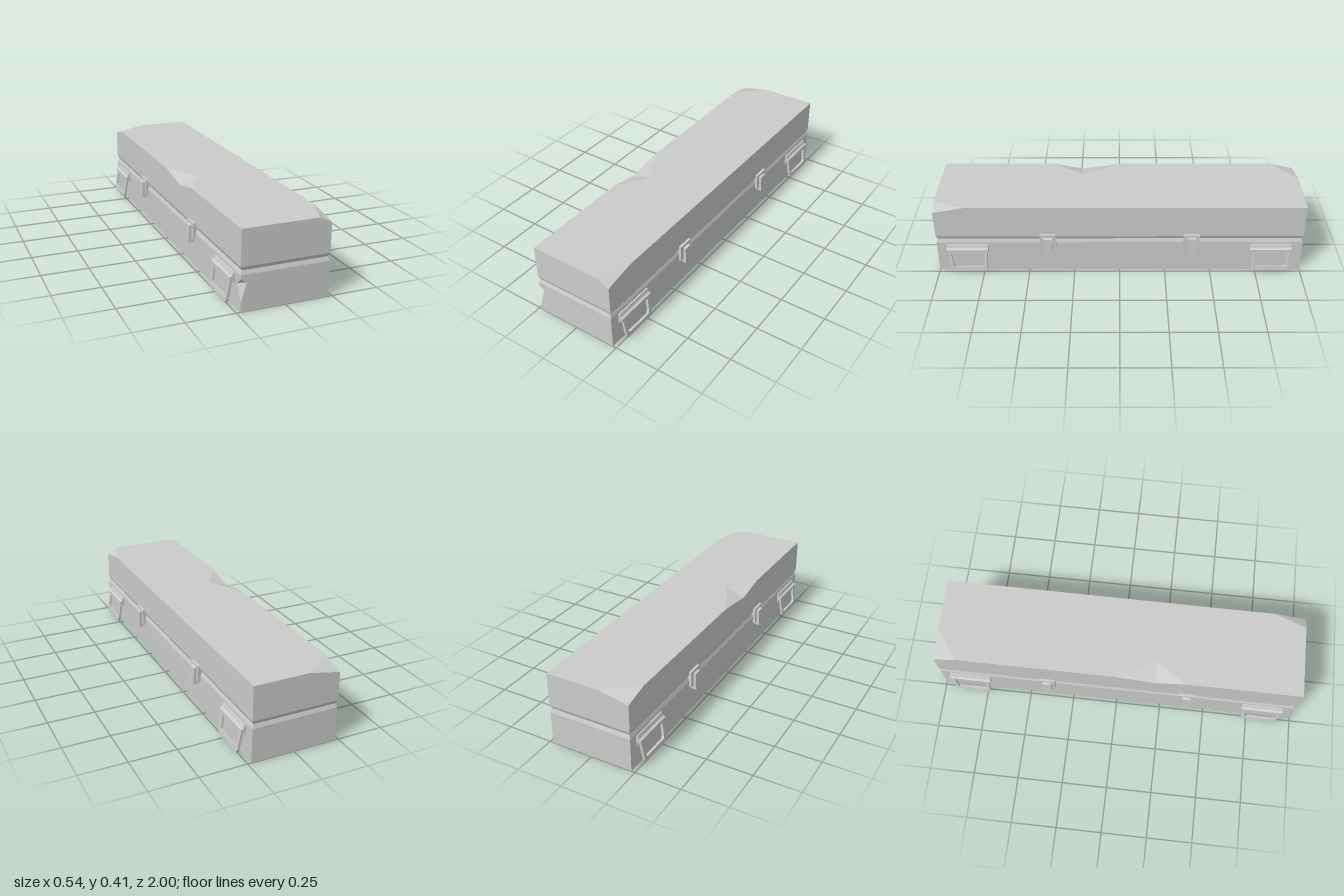
import * as THREE from 'three';

const W = 0.23, TOP = 0.41, LID = 0.225, SEAM = 0.206, RIM = 0.185, INSET = 0.008;
const material = new THREE.MeshStandardMaterial({ color: 0xcccccc, flatShading: true });

// Builds a faceted shell; every face is [outward direction, corners], fanned from its first corner.
function shell(name, faces) {
  const out = [];
  const [a, b, c] = [0, 1, 2].map(() => new THREE.Vector3());
  for (const [dir, pts] of faces) {
    for (let i = 1; i < pts.length - 1; i++) {
      a.set(...pts[0]);
      b.set(...pts[i]);
      c.set(...pts[i + 1]);
      const n = b.clone().sub(a).cross(c.clone().sub(a));
      const flip = n.dot(new THREE.Vector3(...dir)) < 0;
      out.push(...pts[0], ...(flip ? pts[i + 1] : pts[i]), ...(flip ? pts[i] : pts[i + 1]));
    }
  }
  const g = new THREE.BufferGeometry();
  g.setAttribute('position', new THREE.Float32BufferAttribute(out, 3));
  g.computeVertexNormals();
  return named(g, name);
}

function named(geometry, name) {
  const mesh = new THREE.Mesh(geometry, material);
  mesh.name = name;
  return mesh;
}

const ring = (y, d = 0) => [[1, 1], [1, -1], [-1, -1], [-1, 1]].map(([x, z]) => [x * (W - d), y, z * (1 - d)]);

// Sloped strips joining an outer ring to the recessed seam
function seamStrips(y) {
  const o = ring(y), s = ring(SEAM, INSET);
  const dirs = [[1, 0, 0], [0, 0, -1], [-1, 0, 0], [0, 0, 1]];
  return dirs.map((d, i) => [d, [o[i], o[(i + 1) % 4], s[(i + 1) % 4], s[i]]]);
}

// Lid with two crushed corners and a dent in its -x edge
function makeLid() {
  const [fr, br, bl, fl] = ring(LID);
  const low = 0.378;
  const f1 = [0.165, TOP, 1], f2 = [W, low, 1], f3 = [W, TOP, 0.83];
  const b1 = [-0.06, TOP, -1], b2 = [-W, low, -1], b3 = [-W, TOP, -0.87];
  const d1 = [-W, TOP, -0.02], d2 = [-W, TOP, 0.38], pit = [-W, low, 0.21], apex = [-0.12, TOP, 0.21];
  const tbr = [W, TOP, -1], tfl = [-W, TOP, 1], up = [0, 1, 0];
  return shell('lid', [
    [up, [apex, d2, tfl, f1, f3, tbr, b1, b3, d1]],
    [up, [f1, f2, f3]],
    [up, [b1, b2, b3]],
    [up, [apex, d1, pit]],
    [up, [apex, pit, d2]],
    [[0, 0, 1], [fl, fr, f2, f1, tfl]],
    [[0, 0, -1], [br, bl, b2, b1, tbr]],
    [[1, 0, 0], [fr, br, tbr, f3, f2]],
    [[-1, 0, 0], [pit, d2, tfl, fl, bl, b2, b3, d1]],
    ...seamStrips(LID),
  ]);
}

// Lower case with a dent in its front -x corner
function makeCase() {
  const [fr, br, bl, fl] = ring(RIM), [cfr, cbr, cbl, cfl] = ring(0);
  const hi = [-W, 0.165, 1], lo = [-W, 0.045, 1], pit = [-W, 0.132, 0.96], apex = [-0.2, 0.145, 1];
  return shell('case', [
    [[0, -1, 0], [cfr, cbr, cbl, cfl]],
    [[0, 0, 1], [apex, hi, fl, fr, cfr, cfl, lo]],
    [[0, 0, 1], [apex, hi, pit]],
    [[0, 0, 1], [apex, pit, lo]],
    [[0, 0, -1], [br, bl, cbl, cbr]],
    [[1, 0, 0], [fr, br, cbr, cfr]],
    [[-1, 0, 0], [pit, hi, fl, bl, cbl, cfl, lo]],
    ...seamStrips(RIM),
  ]);
}

// Extrudes an x-y profile along z, centred
function bar(name, points, width) {
  const shape = new THREE.Shape(points.map(([x, y]) => new THREE.Vector2(W + x, y)));
  const g = new THREE.ExtrudeGeometry(shape, { depth: width, bevelEnabled: false });
  return named(g.translate(0, 0, -width / 2), name);
}

function makeLatch() {
  const g = new THREE.Group();
  g.name = 'latch';
  g.add(
    bar('latchPlate', [[-0.008, 0.15], [0.014, 0.15], [0.014, 0.24], [-0.008, 0.24]], 0.088),
    bar('latchHook', [[0, 0.13], [0.032, 0.128], [0.028, 0.222], [0.012, 0.226], [0, 0.226]], 0.046),
  );
  return g;
}

function makeHandle() {
  const g = new THREE.Group();
  g.name = 'handle';
  g.add(bar('handleBracket', [[0, 0.118], [0.007, 0.118], [0.008, 0.135], [0.026, 0.133],
    [0.026, 0.15], [0.014, 0.157], [0.008, 0.174], [0, 0.174]], 0.228));
  // Hanging bail: a tapered frame swung slightly outward
  const frame = (s, top, bottom) => [[-0.106 + s, top], [-0.1 + s, bottom + 0.012], [-0.092 + s, bottom],
    [0.092 - s, bottom], [0.1 - s, bottom + 0.012], [0.106 - s, top]].map((p) => new THREE.Vector2(...p));
  const shape = new THREE.Shape(frame(0, 0, -0.127));
  shape.holes.push(new THREE.Path(frame(0.016, -0.02, -0.105)));
  const geo = new THREE.ExtrudeGeometry(shape, { depth: 0.014, bevelEnabled: false });
  geo.translate(0, 0, -0.007).rotateY(Math.PI / 2).rotateZ(0.16);
  const bail = named(geo, 'handleBail');
  bail.position.set(W + 0.013, 0.146, 0);
  g.add(bail);
  return g;
}

export function createModel() {
  const model = new THREE.Group();
  model.name = 'longCase';
  model.add(makeLid(), makeCase());
  // Two latches and two handles on each long side
  const sides = [
    { turn: 0, latches: [-0.39, 0.39], handles: [-0.825, 0.832] },
    { turn: Math.PI, latches: [-0.39, 0.39], handles: [-0.835, 0.82] },
  ];
  for (const { turn, latches, handles } of sides) {
    const put = (part, z) => {
      part.rotation.y = turn;
      part.position.z = z;
      model.add(part);
    };
    latches.forEach((z) => put(makeLatch(), z));
    handles.forEach((z) => put(makeHandle(), z));
  }
  return model;
}
